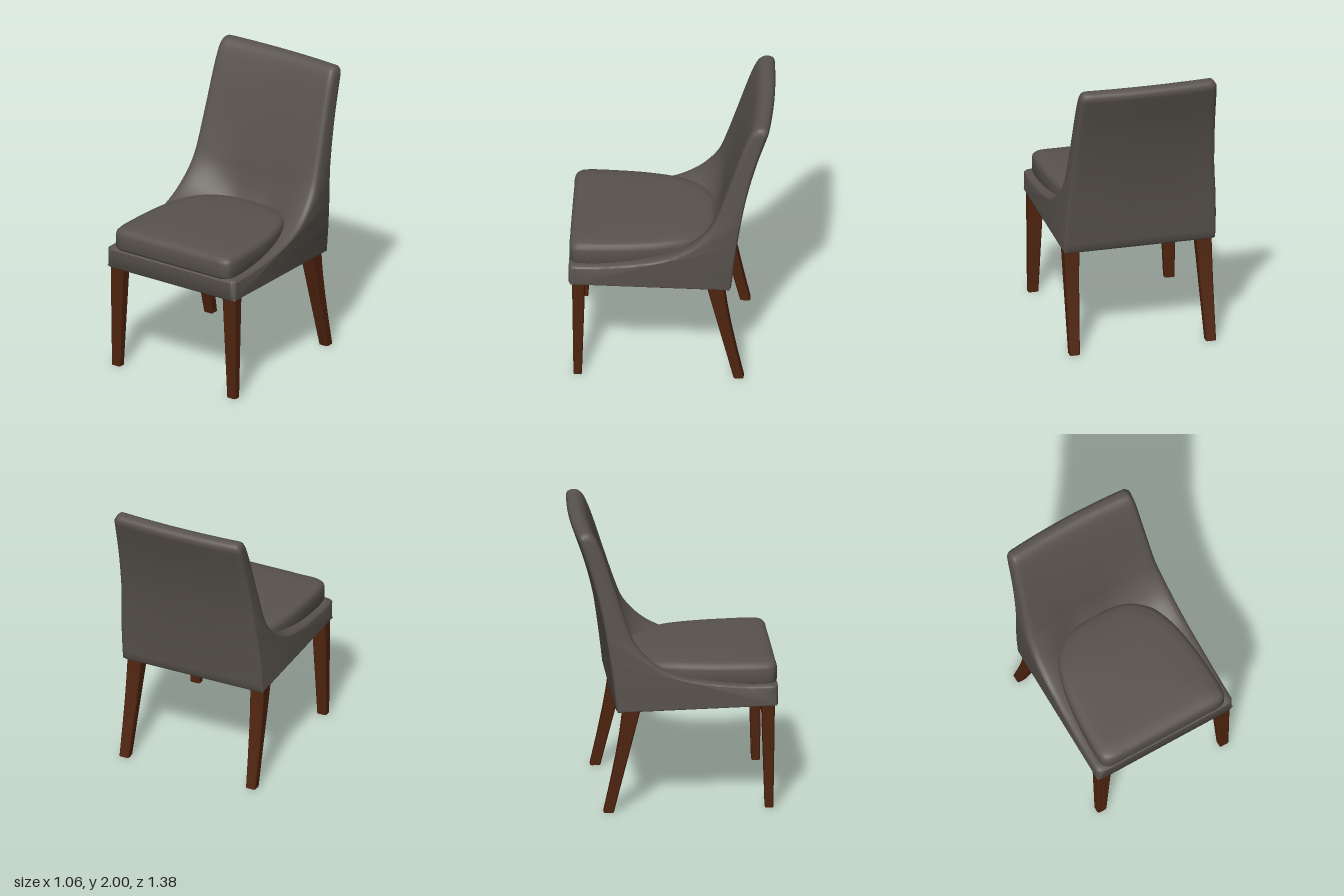
import * as THREE from 'three';
import { toCreasedNormals } from 'three/addons/utils/BufferGeometryUtils.js';

const fabric = new THREE.MeshStandardMaterial({ color: 0x59534d });
fabric.name = 'charcoal upholstery';
const wood = new THREE.MeshStandardMaterial({ color: 0x4f240f });
wood.name = 'dark walnut';

// Skin a list of rings (arrays of Vector3) and cap both ends.
// Rings run counter-clockwise about the direction of travel; flat() gives the cap plane.
function loft(rings, flat, crease) {
  const n = rings[0].length, pos = [], index = [];
  rings.forEach((ring) => ring.forEach((p) => pos.push(p.x, p.y, p.z)));
  for (let j = 0; j < rings.length - 1; j++) {
    for (let i = 0; i < n; i++) {
      const a = j * n + i, b = j * n + (i + 1) % n;
      index.push(a, b, b + n, a, b + n, a + n);
    }
  }
  const last = (rings.length - 1) * n;
  for (const [a, b, c] of THREE.ShapeUtils.triangulateShape(rings[0].map(flat), [])) index.push(a, c, b);
  for (const [a, b, c] of THREE.ShapeUtils.triangulateShape(rings[rings.length - 1].map(flat), [])) {
    index.push(last + a, last + b, last + c);
  }
  const geo = new THREE.BufferGeometry();
  geo.setAttribute('position', new THREE.Float32BufferAttribute(pos, 3));
  geo.setIndex(index);
  return toCreasedNormals(geo, crease);
}

const flatZY = (p) => new THREE.Vector2(p.z, p.y);
const flatZX = (p) => new THREE.Vector2(p.z, p.x);

// Piecewise linear lookup in [[key, value], ...]
function lookup(table, k) {
  if (k <= table[0][0]) return table[0][1];
  for (let i = 1; i < table.length; i++) {
    const [k0, v0] = table[i - 1], [k1, v1] = table[i];
    if (k <= k1) return THREE.MathUtils.mapLinear(k, k0, k1, v0, v1);
  }
  return table[table.length - 1][1];
}

// Seat base, arms and back as one shell: side profile blends into centre profile
function shellGeometry() {
  // [side z, side y, centre z, centre y, edge rounding]
  const profile = [
    [0.67, 0.886, 0.67, 0.886, 0.5],
    [0.5, 0.888, 0.5, 0.885, 0.4],
    [0.35, 0.9, 0.3, 0.885, 0.4],
    [0.2, 0.92, 0.1, 0.885, 0.4],
    [0.04, 0.955, -0.1, 0.89, 0.4],
    [-0.1, 1.02, -0.23, 0.94, 0.5],
    [-0.2, 1.1, -0.29, 1.03, 0.6],
    [-0.28, 1.2, -0.33, 1.15, 0.7],
    [-0.33, 1.32, -0.36, 1.29, 0.7],
    [-0.42, 1.6, -0.44, 1.6, 0.8],
    [-0.49, 1.82, -0.51, 1.82, 0.9],
    [-0.54, 1.945, -0.56, 1.945, 1.1],
    [-0.575, 1.988, -0.595, 1.988, 1.3],
    [-0.61, 2.0, -0.63, 2.0, 1.3],
    [-0.65, 1.99, -0.672, 1.99, 1.2],
    [-0.664, 1.955, -0.687, 1.955, 0.8],
    [-0.645, 1.89, -0.668, 1.89, 0.6],
    [-0.58, 1.69, -0.6, 1.69, 0.4],
    [-0.52, 1.45, -0.535, 1.45, 0.3],
    [-0.475, 1.2, -0.483, 1.2, 0.3],
    [-0.44, 0.95, -0.444, 0.95, 0.3],
    [-0.415, 0.735, -0.417, 0.735, 0.25],
  ];
  const spline = (f) => new THREE.CatmullRomCurve3(
    profile.map((p) => new THREE.Vector3(...f(p))), false, 'catmullrom').getPoints(84);
  const side = spline((p) => [p[0], p[1], p[4]]);
  const centre = spline((p) => [p[2], p[3], p[4]]);
  for (const list of [side, centre]) {
    list.unshift(new THREE.Vector3(0.68, 0.735, 0.2), new THREE.Vector3(0.69, 0.745, 0.8), new THREE.Vector3(0.69, 0.868, 0.8));
    list.push(new THREE.Vector3(-0.405, 0.72, 0.2));
  }
  const halfWidth = [[0.9, 0.53], [1.05, 0.524], [1.3, 0.503], [1.6, 0.491], [2, 0.478]];

  // Stations across the width: [fraction of half width, edge inset]
  const r = 0.045, half = [];
  for (let k = 0; k <= 6; k++) {
    const a = (1 - k / 6) * Math.PI / 2;
    half.push([1 - r * (1 - Math.sin(a)) / 0.53, r * (1 - Math.cos(a))]);
  }
  const inner = half[6][0];
  for (let k = 1; k < 14; k++) half.push([inner * (1 - k / 14), 0]);
  const stations = [...half, [0, 0], ...half.map(([s, d]) => [-s, d]).reverse()];

  const rings = stations.map(([s, d]) => {
    const scoop = THREE.MathUtils.smoothstep(Math.abs(s), 0.2, 0.95);
    const pts = side.map((p, i) => {
      const w = THREE.MathUtils.lerp(scoop, s * s, THREE.MathUtils.smoothstep(p.y, 1.2, 1.7));
      return centre[i].clone().lerp(p, w);
    });
    return pts.map((p, i) => {
      const a = pts[(i + pts.length - 1) % pts.length], b = pts[(i + 1) % pts.length];
      const tz = b.x - a.x, ty = b.y - a.y, len = Math.hypot(tz, ty) || 1;
      const inset = d * p.z;
      return new THREE.Vector3(s * lookup(halfWidth, p.y), p.y + inset * tz / len, p.x - inset * ty / len);
    });
  });
  return loft(rings, flatZY, 0.8);
}

// Loose seat cushion, rounded towards the back with a soft domed top
function cushionGeometry() {
  const right = [[0.3, 0.688], [0.43, 0.685], [0.472, 0.66], [0.485, 0.6], [0.481, 0.4], [0.465, 0.2],
    [0.425, 0], [0.36, -0.15], [0.25, -0.25], [0.12, -0.285]];
  const outline = [[0, 0.689], ...right, [0, -0.292], ...right.map(([x, z]) => [-x, z]).reverse()];
  const loop = new THREE.CatmullRomCurve3(outline.map(([x, z]) => new THREE.Vector3(x, 0, z)), true).getPoints(88);
  loop.pop();
  const layers = [[0.96, 0.872], [0.985, 0.878], [1, 0.895], [1, 0.985], [0.99, 1.005], [0.965, 1.02],
    [0.92, 1.029], [0.8, 1.036], [0.6, 1.041], [0.35, 1.044], [0.1, 1.045]];
  const rings = layers.map(([k, y]) => loop.map((p) => {
    const z = 0.2 + (p.z - 0.2) * k;
    return new THREE.Vector3(p.x * k, y - Math.max(0, -z) * 0.06, z);
  }));
  return loft(rings, flatZX, 0.9);
}

// Tapered leg with chamfered corners; sections are [y, inner x, outer x, back z, front z]
function legGeometry(sections, sign) {
  const c = 0.008;
  const rings = sections.map(([y, xin, xout, z0, z1]) => {
    const x0 = Math.min(sign * xin, sign * xout), x1 = Math.max(sign * xin, sign * xout);
    return [[x0 + c, z1], [x1 - c, z1], [x1, z1 - c], [x1, z0 + c],
      [x1 - c, z0], [x0 + c, z0], [x0, z0 + c], [x0, z1 - c]].map(([x, z]) => new THREE.Vector3(x, y, z));
  });
  return loft(rings, flatZX, 0.4);
}

export function createModel() {
  const chair = new THREE.Group();
  chair.name = 'diningChair';
  const add = (name, geometry, material) => {
    const mesh = new THREE.Mesh(geometry, material);
    mesh.name = name;
    chair.add(mesh);
  };

  add('upholsteredShell', shellGeometry(), fabric);
  add('seatCushion', cushionGeometry(), fabric);

  const frontLeg = [[0, 0.443, 0.513, 0.6, 0.656], [0.76, 0.41, 0.517, 0.578, 0.666]];
  const backLeg = [[0, 0.443, 0.513, -0.5, -0.432], [0.2, 0.434, 0.514, -0.455, -0.383],
    [0.4, 0.425, 0.515, -0.414, -0.333], [0.55, 0.419, 0.516, -0.388, -0.296],
    [0.65, 0.414, 0.516, -0.375, -0.271], [0.76, 0.41, 0.517, -0.365, -0.245]];
  for (const [label, sign] of [['Left', 1], ['Right', -1]]) {
    add('frontLeg' + label, legGeometry(frontLeg, sign), wood);
    add('backLeg' + label, legGeometry(backLeg, sign), wood);
  }
  return chair;
}
